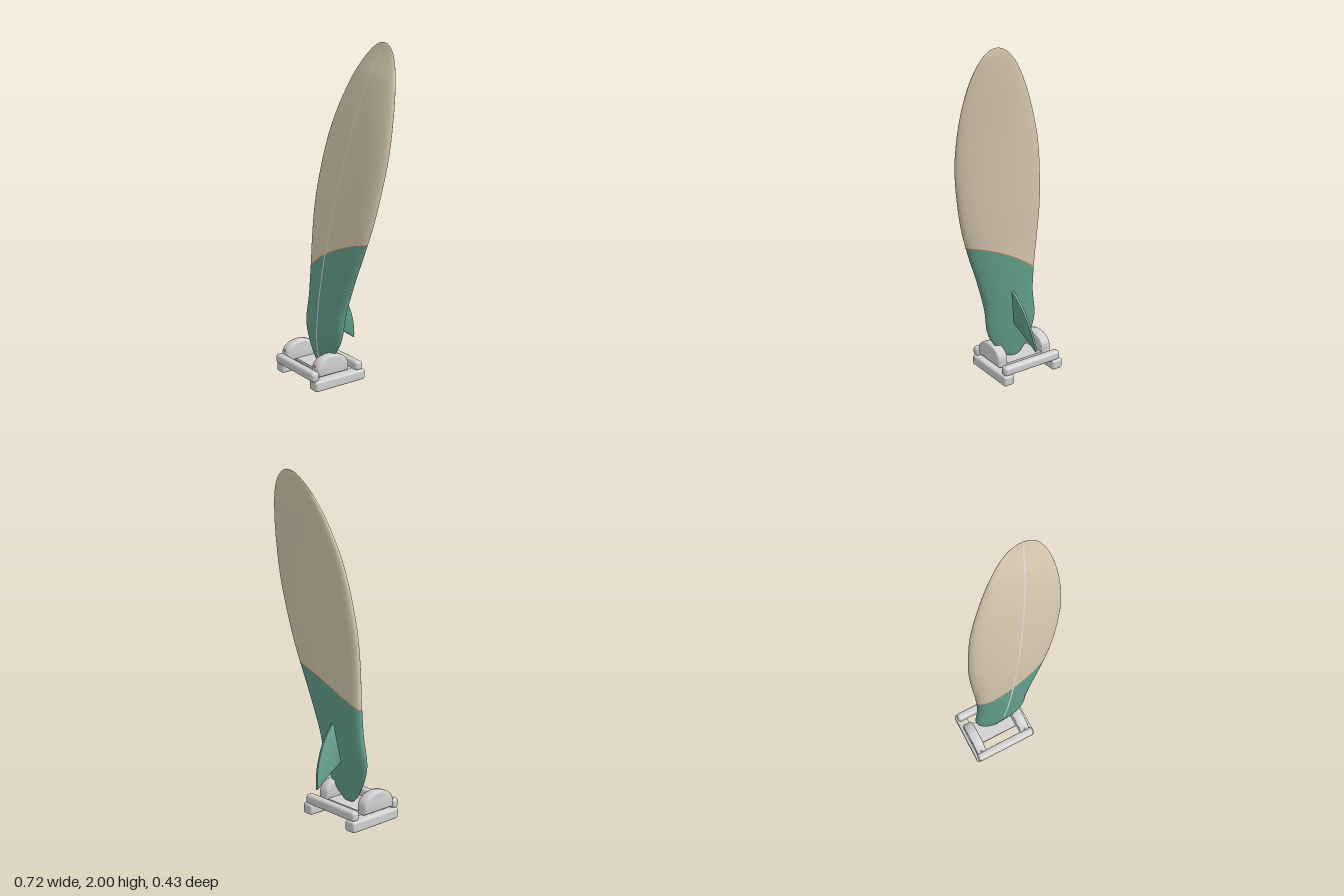
import * as THREE from 'three';
import { toCreasedNormals } from 'three/addons/utils/BufferGeometryUtils.js';
import { RoundedBoxGeometry } from 'three/addons/geometries/RoundedBoxGeometry.js';

const LENGTH = 1.944; // board length along its own axis
const TILT = 0.158;   // sideways lean of the board

const material = (name, color, side = THREE.FrontSide) => {
  const m = new THREE.MeshStandardMaterial({ color, side });
  m.name = name;
  return m;
};

// Smooth curve through evenly spaced values, read at u = 0..1
function profile(values) {
  const curve = new THREE.SplineCurve(values.map((v, i) => new THREE.Vector2(i, v)));
  return (u) => curve.getPoint(THREE.MathUtils.clamp(u, 0, 1)).y;
}

// Board profiles from tail to nose
const fullness = profile([0.26, 0.28, 0.222, 0.222, 0.247, 0.273, 0.289, 0.303, 0.304, 0.303, 0.305]);
const deckZ = profile([0.05, 0.072, 0.079, 0.074, 0.061, 0.041, 0.012, -0.023, -0.065, -0.12, -0.185]);
const bottomZ = profile([0.01, -0.012, -0.036, -0.058, -0.077, -0.098, -0.118, -0.139, -0.162, -0.188, -0.213]);

function halfWidth(t) {
  const q = (2 * t) / LENGTH - 1;
  return fullness(t / LENGTH) * Math.sqrt(Math.max(0, 1 - q * q));
}

// Point on the board skin at distance t from the tail and angle a round the section
function boardPoint(t, a) {
  const u = t / LENGTH;
  const end = Math.max(0, (Math.abs(2 * u - 1) - 0.75) / 0.25);
  const taper = Math.sqrt(Math.max(0, 1 - end * end));
  const front = deckZ(u), back = bottomZ(u);
  const rail = front * 0.42 + back * 0.58;
  const s = Math.sin(a);
  const depth = s > 0 ? front - rail : rail - back;
  return [halfWidth(t) * Math.cos(a), t, rail + depth * s * taper];
}

// Where the slanted colour border crosses each line of the skin
function borderAt(a) {
  let t = 0.72;
  for (let i = 0; i < 20; i++) {
    const s = halfWidth(t) * Math.cos(a);
    t = 0.722 + 0.71 * s - 0.75 * s * s;
  }
  return t;
}

function boardGeometry() {
  const ring = 72, tailRows = 36, noseRows = 48, band = 0.0025;
  const positions = [], index = [];
  const rows = tailRows + noseRows + 2;
  for (let i = 0; i < rows; i++) {
    for (let j = 0; j < ring; j++) {
      const a = (j / ring) * Math.PI * 2;
      const b = borderAt(a);
      const t = i <= tailRows
        ? (b - band) * (1 - Math.cos((i / tailRows) * Math.PI / 2))
        : b + band + (LENGTH - b - band) * Math.sin(((i - tailRows - 1) / noseRows) * Math.PI / 2);
      positions.push(...boardPoint(t, a));
    }
  }
  for (let i = 0; i < rows - 1; i++) {
    for (let j = 0; j < ring; j++) {
      const k = (j + 1) % ring;
      const a = i * ring + j, b = a + ring, c = i * ring + k, d = c + ring;
      index.push(a, b, c, b, d, c);
    }
  }
  const g = new THREE.BufferGeometry();
  g.setAttribute('position', new THREE.Float32BufferAttribute(positions, 3));
  g.setIndex(index);
  const perRow = ring * 6;
  g.addGroup(0, tailRows * perRow, 0);
  g.addGroup(tailRows * perRow, perRow, 1);
  g.addGroup((tailRows + 1) * perRow, noseRows * perRow, 2);
  g.computeVertexNormals();
  return g;
}

// Thin centre strip following the deck
function stringerGeometry() {
  const g = new THREE.PlaneGeometry(0.009, 1, 1, 80);
  const p = g.attributes.position;
  for (let i = 0; i < p.count; i++) {
    const t = LENGTH * (0.008 + 0.984 * (p.getY(i) + 0.5));
    p.setXYZ(i, p.getX(i), t, boardPoint(t, Math.PI / 2)[2] + 0.002);
  }
  g.computeVertexNormals();
  return g;
}

// Swept fin drawn from the side, then turned so it points backwards
function finGeometry() {
  const s = new THREE.Shape();
  s.moveTo(0, 0.476);
  s.lineTo(0.05, 0.472);
  s.bezierCurveTo(0.12, 0.41, 0.2, 0.29, 0.213, 0.13);
  s.quadraticCurveTo(0.13, 0.19, 0.03, 0.243);
  s.lineTo(0, 0.25);
  s.closePath();
  const g = new THREE.ExtrudeGeometry(s, {
    depth: 0.006, bevelEnabled: true, bevelThickness: 0.005, bevelSize: 0.004, bevelSegments: 2, curveSegments: 20,
  });
  g.translate(0, 0, -0.003);
  g.rotateY(Math.PI / 2);
  return toCreasedNormals(g, 0.7);
}

// Arched cradle pad with softened edges
function padGeometry() {
  const bevel = 0.012, half = 0.114 - bevel;
  const s = new THREE.Shape();
  s.moveTo(-half, 0.075 + bevel);
  s.lineTo(half, 0.075 + bevel);
  s.lineTo(half, 0.115);
  s.bezierCurveTo(half, 0.155, 0.055, 0.192 - bevel, 0, 0.192 - bevel);
  s.bezierCurveTo(-0.055, 0.192 - bevel, -half, 0.155, -half, 0.115);
  s.closePath();
  const depth = 0.067 - 2 * bevel;
  const g = new THREE.ExtrudeGeometry(s, {
    depth, bevelEnabled: true, bevelThickness: bevel, bevelSize: bevel, bevelSegments: 4, curveSegments: 20,
  });
  g.translate(0, 0, -depth / 2);
  g.rotateY(Math.PI / 2);
  return toCreasedNormals(g, 0.8);
}

export function createModel() {
  const beige = material('beige', 0xd8c9b0);
  const green = material('green', 0x64a18c);
  const coral = material('coral', 0xd9705c);
  const grey = material('grey', 0xd0d0d0);
  const paleGrey = material('pale grey', 0xd8d8d8, THREE.DoubleSide);

  const model = new THREE.Group();
  model.name = 'surfboardOnStand';
  const add = (parent, name, geometry, mat, x = 0, y = 0, z = 0) => {
    const mesh = new THREE.Mesh(geometry, mat);
    mesh.name = name;
    mesh.position.set(x, y, z);
    parent.add(mesh);
    return mesh;
  };

  // Board, leaning to its left
  const board = new THREE.Group();
  board.name = 'surfboard';
  board.position.set(-0.137, 0.08, 0);
  board.rotation.z = -TILT;
  model.add(board);
  add(board, 'boardBody', boardGeometry(), [green, coral, beige]);
  add(board, 'stringer', stringerGeometry(), paleGrey);
  add(board, 'fin', finGeometry(), green);

  // Stand
  const stand = new THREE.Group();
  stand.name = 'stand';
  model.add(stand);
  const foot = new RoundedBoxGeometry(0.075, 0.066, 0.363, 4, 0.016);
  const rail = new RoundedBoxGeometry(0.416, 0.06, 0.053, 4, 0.02);
  const pad = padGeometry();
  const peg = new THREE.CylinderGeometry(0.007, 0.007, 0.02, 16).rotateX(Math.PI / 2);
  for (const [side, footX, padX] of [['right', -0.328, -0.315], ['left', 0.038, 0.013]]) {
    add(stand, side + 'Foot', foot, grey, footX, 0.033, 0.02);
    add(stand, side + 'Pad', pad, grey, padX, 0, 0.058);
    add(stand, side + 'Peg', peg, grey, padX, 0.137, 0.164);
  }
  add(stand, 'frontRail', rail, grey, -0.145, 0.088, 0.19);
  add(stand, 'backRail', rail, grey, -0.145, 0.088, -0.126);
  add(stand, 'basePlate', new THREE.BoxGeometry(0.33, 0.016, 0.15), grey, -0.15, 0.076, 0.03);
  return model;
}
